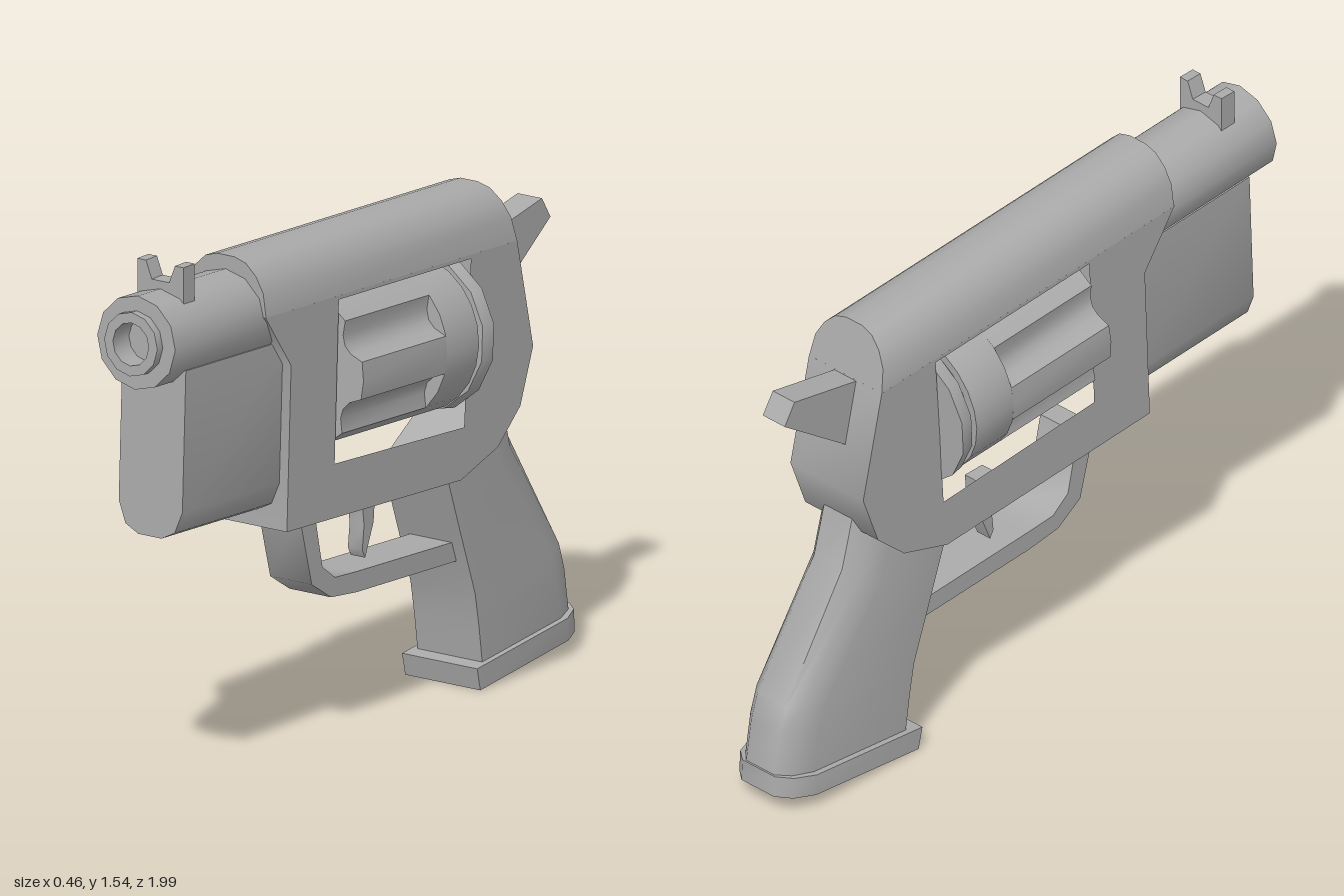
import * as THREE from 'three';
import { toCreasedNormals } from 'three/addons/utils/BufferGeometryUtils.js';

const SLOPE = 0.048; // the whole upper assembly rises slightly toward the front
const CREASE = 0.8;

export function createModel() {
  const model = new THREE.Group();
  const grey = new THREE.MeshStandardMaterial({ color: 0xaaaaaa });
  grey.name = 'grey metal';

  const add = (name, geometry, parent = model) => {
    const mesh = new THREE.Mesh(toCreasedNormals(geometry, CREASE), grey);
    mesh.name = name;
    parent.add(mesh);
    return mesh;
  };
  const shapeOf = (pts) => new THREE.Shape(pts.map(([a, b]) => new THREE.Vector2(a, b)));
  const extrude = (shape, depth) =>
    new THREE.ExtrudeGeometry(shape, { depth, bevelEnabled: false });

  // Side outline given as (z, y), extruded across the width
  const sidePlate = (name, pts, halfWidth, hole) => {
    const shape = shapeOf(pts);
    if (hole) shape.holes.push(shapeOf(hole));
    const g = extrude(shape, halfWidth * 2);
    g.translate(0, 0, -halfWidth).rotateY(-Math.PI / 2);
    return add(name, g);
  };

  // Half section (x, y) mirrored, extruded from z0 to z1 and sheared to the slope
  const mirrored = (half) => [...half, ...half.map(([x, y]) => [-x, y]).reverse()];
  const sloped = (half, z0, z1, rule = () => 0) => {
    const g = extrude(shapeOf(mirrored(half)), z1 - z0).translate(0, 0, z0);
    const p = g.attributes.position;
    for (let i = 0; i < p.count; i++) {
      const z = p.getZ(i) + rule(p.getY(i), p.getZ(i));
      p.setZ(i, z);
      p.setY(i, p.getY(i) + SLOPE * z);
    }
    return g;
  };

  // Frame with an open window, and its rounded top
  sidePlate('frame', [
    [0.55, 1.331], [0.43, 1.165], [0.45, 0.685], [-0.37, 0.64], [-0.545, 0.695],
    [-0.65, 0.79], [-0.71, 0.95], [-0.635, 1.274],
  ], 0.14, [[0.205, 1.303], [0.225, 0.83], [-0.385, 0.79], [-0.417, 1.273]]);
  const base = 1.304;
  add('frameTop', sloped(
    [[0.14, base], [0.13, base + 0.07], [0.105, base + 0.115], [0.07, base + 0.148], [0.03, base + 0.16]],
    -0.635, 0.548, (y, z) => (z < 0 ? (y - base) * 0.22 : 0)));

  // Underlug below the barrel, front edge leaning back
  add('underlug', sloped(
    [[0.04, 0.714], [0.085, 0.737], [0.11, 0.8], [0.11, 1.21]],
    0.4, 0.905, (y, z) => (z > 0.6 ? -(y - 0.714) * 0.04 : 0)));

  // Parts turned about an axis that follows the slope
  const axisGroup = (name, y) => {
    const group = new THREE.Group();
    group.name = name;
    group.position.y = y;
    group.rotation.x = -Math.atan(SLOPE);
    model.add(group);
    return group;
  };
  const lathe = (pts, sides) => new THREE.LatheGeometry(
    pts.map(([r, z]) => new THREE.Vector2(r, z)), sides).rotateX(Math.PI / 2);

  // Barrel with stepped muzzle and bore
  const barrel = axisGroup('barrelGroup', 1.289);
  add('barrel', lathe([
    [0, 0.4], [0.135, 0.4], [0.135, 0.97], [0.092, 0.97], [0.092, 0.996],
    [0.062, 0.996], [0.062, 0.92], [0, 0.92],
  ], 12), barrel);

  // Notched front sight
  add('frontSight', extrude(shapeOf(mirrored(
    [[0.08, 1.42], [0.08, 1.54], [0.05, 1.54], [0.03, 1.488]])), 0.052).translate(0, 0, 0.803));

  // Drum: fluted front, plain rear, and a rim
  const drum = axisGroup('drum', 1.07);
  const outline = [];
  const R = 0.225;
  for (let k = 0; k < 6; k++) {
    const mid = Math.PI / 6 + (k * Math.PI) / 3;
    for (const [offset, r] of [[-0.28, R], [-0.15, 0.192], [0, 0.182], [0.15, 0.192], [0.28, R], [0.52, R]]) {
      outline.push([r * Math.cos(mid + offset), r * Math.sin(mid + offset)]);
    }
  }
  add('flutedDrum', extrude(shapeOf(outline), 0.395).translate(0, 0, -0.19), drum);
  add('drumRear', lathe([[0, -0.34], [R, -0.34], [R, -0.19], [0, -0.19]], 24), drum);
  add('drumNeck', lathe([[0, -0.37], [0.2, -0.37], [0.2, -0.33], [0, -0.33]], 24), drum);
  add('drumRim', lathe([[0, -0.402], [0.235, -0.402], [0.228, -0.358], [0, -0.358]], 14), drum);

  // Hammer, trigger and trigger guard
  sidePlate('hammer', [[-0.6, 1.264], [-0.885, 1.32], [-0.925, 1.257], [-0.68, 1.08], [-0.6, 1.08]], 0.042);
  sidePlate('trigger', [
    [-0.055, 0.68], [-0.07, 0.56], [-0.062, 0.49], [-0.075, 0.465], [-0.115, 0.56], [-0.125, 0.68],
  ], 0.025);
  sidePlate('triggerGuard', [
    [0.3, 0.69], [0.24, 0.47], [0.15, 0.412], [0.03, 0.398], [-0.48, 0.374],
    [-0.48, 0.432], [0.03, 0.458], [0.13, 0.465], [0.19, 0.51], [0.23, 0.69],
  ], 0.072);

  // Loft downward through rows of [front z, front y, rear z, rear y], rounded at the rear
  const loft = (rows, w) => {
    const half = [[0, w], [-0.11, w], [-0.045, w * 0.8], [-0.01, w * 0.48]];
    const ring = [...half, ...half.map(([s, x]) => [s, -x]).reverse()];
    const n = ring.length;
    const pos = [];
    const idx = [];
    rows.forEach(([zf, yf, zr, yr], j) => {
      const len = zf - zr;
      ring.forEach(([s, x]) => {
        const t = s === 0 ? 0 : 1 + s / len;
        pos.push(x, yf + (yr - yf) * t, zf + (zr - zf) * t);
      });
      if (j === 0) return;
      for (let i = 0; i < n; i++) {
        const a = (j - 1) * n + i, b = (j - 1) * n + ((i + 1) % n);
        idx.push(a, a + n, b, b, a + n, b + n);
      }
    });
    const last = (rows.length - 1) * n;
    for (let i = 1; i < n - 1; i++) {
      idx.push(0, i, i + 1, last, last + i + 1, last + i);
    }
    const g = new THREE.BufferGeometry();
    g.setAttribute('position', new THREE.Float32BufferAttribute(pos, 3));
    g.setIndex(idx);
    return g.toNonIndexed();
  };

  // Grip and its base plate
  add('grip', loft([
    [-0.34, 0.66, -0.665, 0.87], [-0.4, 0.49, -0.715, 0.685], [-0.475, 0.28, -0.945, 0.325],
    [-0.493, 0.18, -0.97, 0.25], [-0.51, 0.06, -0.992, 0.11],
  ], 0.112));
  add('gripBase', loft([[-0.46, 0.068, -0.996, 0.125], [-0.475, 0.002, -1, 0.06]], 0.13));

  return model;
}
